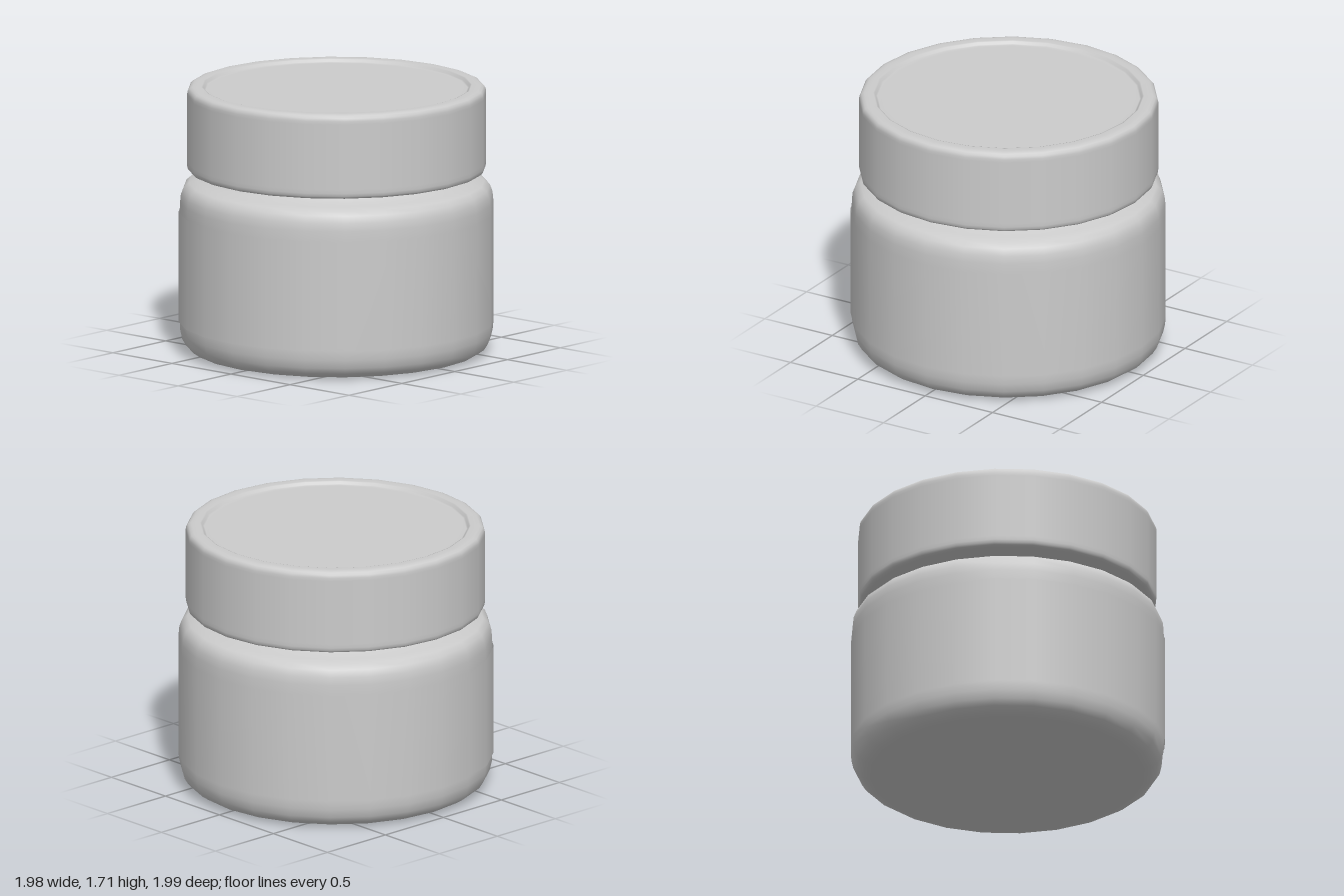
import * as THREE from 'three';

const SIDES = 24;
const BODY_R = 0.992;

function lathe(name, profile, material) {
  const points = profile.map(([r, y]) => new THREE.Vector2(r, y));
  const mesh = new THREE.Mesh(new THREE.LatheGeometry(points, SIDES), material);
  mesh.name = name;
  return mesh;
}

// Thin wrapped sheet with slightly clipped corners; angles run from +z towards +x
function createLabel(material) {
  const angles = [-75, -65, -60, -45, -30, -15, 0, 15, 30, 35, 45];
  const positions = [], normals = [], index = [];
  const step = THREE.MathUtils.degToRad(360 / SIDES);
  angles.forEach((deg, i) => {
    const a = THREE.MathUtils.degToRad(deg);
    // follow the flat facets of the jar
    const within = a - Math.floor(a / step + 1e-6) * step - step / 2;
    const r = 1.0 * Math.cos(step / 2) / Math.cos(within);
    const inset = i === 0 || i === angles.length - 1 ? 0.018 : 0;
    for (const y of [0.2 + inset, 0.908 - inset]) {
      positions.push(r * Math.sin(a), y, r * Math.cos(a));
      normals.push(Math.sin(a), 0, Math.cos(a));
    }
    if (i > 0) {
      const k = 2 * i;
      index.push(k - 2, k, k + 1, k - 2, k + 1, k - 1);
    }
  });
  const geometry = new THREE.BufferGeometry();
  geometry.setAttribute('position', new THREE.Float32BufferAttribute(positions, 3));
  geometry.setAttribute('normal', new THREE.Float32BufferAttribute(normals, 3));
  geometry.setIndex(index);
  const mesh = new THREE.Mesh(geometry, material);
  mesh.name = 'label';
  return mesh;
}

export function createModel() {
  const group = new THREE.Group();
  group.name = 'jar';
  const material = new THREE.MeshStandardMaterial({ color: 0xcccccc, side: THREE.DoubleSide });

  // Jar body with rounded base, shoulder and neck
  const body = lathe('body', [
    [0, 0.004], [0.82, 0.006], [0.87, 0.008], [0.91, 0.018], [0.95, 0.045],
    [0.975, 0.085], [0.988, 0.14], [BODY_R, 0.2], [BODY_R, 0.9], [0.99, 0.97],
    [0.985, 1.02], [0.968, 1.065], [0.935, 1.093], [0.88, 1.108], [0.825, 1.122],
    [0.785, 1.14], [0.762, 1.165], [0.755, 1.2], [0.755, 1.3],
  ], material);

  // Screw lid with rounded rim and a recessed top panel
  const lid = lathe('lid', [
    [0.7, 1.168], [0.88, 1.168], [0.915, 1.168], [0.933, 1.174], [0.942, 1.186],
    [0.945, 1.205], [0.945, 1.23], [0.945, 1.65], [0.945, 1.67], [0.941, 1.688],
    [0.93, 1.702], [0.912, 1.709], [0.89, 1.71], [0.855, 1.71], [0.845, 1.707],
    [0.838, 1.692], [0.828, 1.688], [0.8, 1.688], [0, 1.688],
  ], material);

  group.add(body, lid, createLabel(material));
  return group;
}
